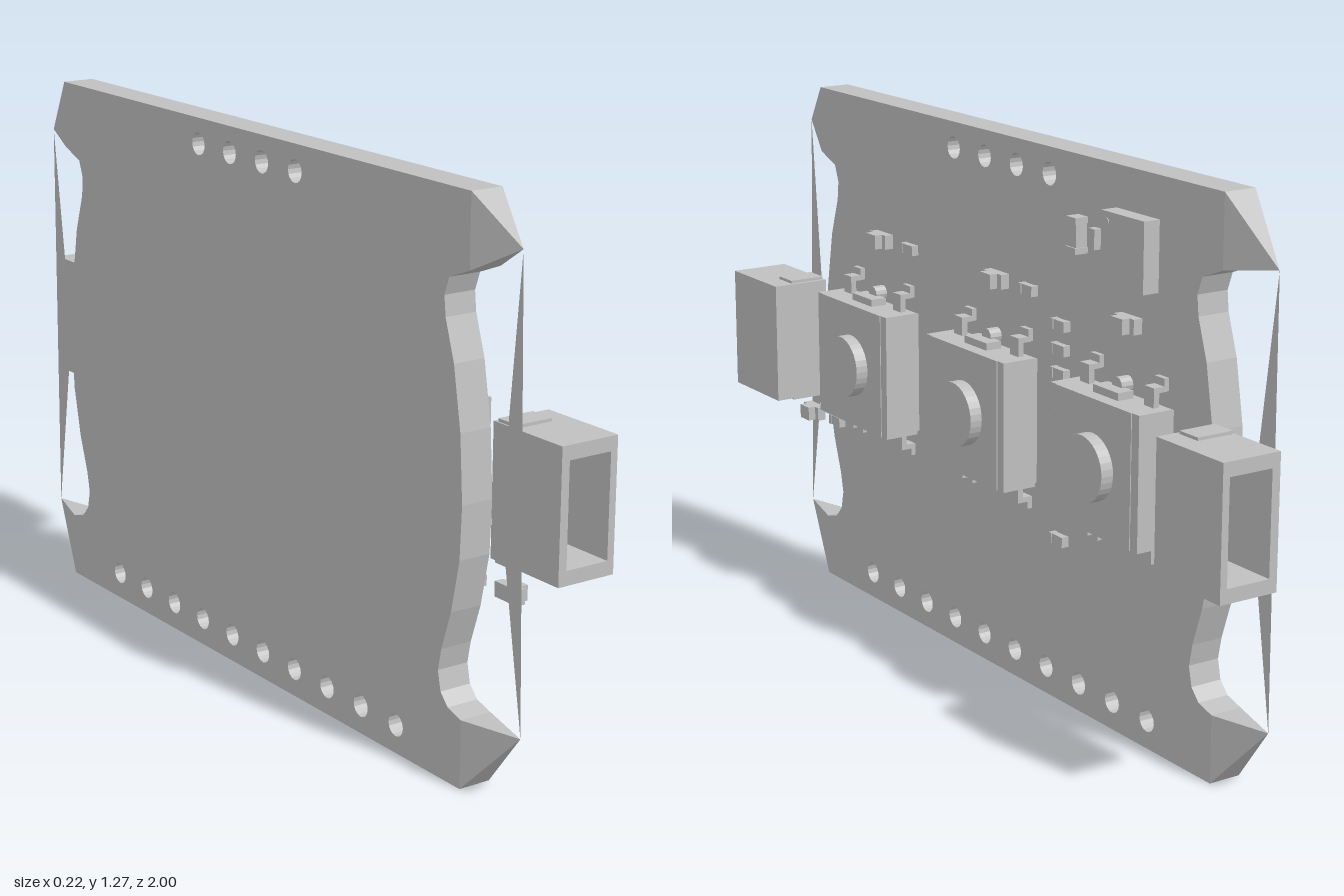
import * as THREE from 'three';
import { ConvexGeometry } from 'three/addons/geometries/ConvexGeometry.js';

const grey = new THREE.MeshStandardMaterial({ color: 0xbfbfbf, flatShading: true });
grey.name = 'plain grey';
const sheetGrey = grey.clone();
sheetGrey.name = 'plain grey sheet';
sheetGrey.side = THREE.DoubleSide;

const BACK = -0.115, FACE = -0.037, MID = -0.075;

function add(parent, name, geometry, x = 0, y = 0, z = 0, material = grey) {
  const mesh = new THREE.Mesh(geometry, material);
  mesh.name = name;
  mesh.position.set(x, y, z);
  parent.add(mesh);
  return mesh;
}

// Box given by its range in x and its centre and size in y and z
function block(parent, name, x0, x1, y, z, h, w) {
  return add(parent, name, new THREE.BoxGeometry(x1 - x0, h, w), (x0 + x1) / 2, y, z);
}

function disc(parent, name, x0, x1, y, z, r, sides = 32) {
  const g = new THREE.CylinderGeometry(r, r, x1 - x0, sides).rotateZ(-Math.PI / 2);
  return add(parent, name, g, (x0 + x1) / 2, y, z);
}

// Plate with a notch in each end and rows of drilled holes
function makeBoard() {
  const board = new THREE.Group();
  board.name = 'board';
  const side = [[0.8, 0], [0.8, 0.155], [0.755, 0.168], [0.73, 0.195], [0.72, 0.24], [0.73, 0.29],
    [0.76, 0.38], [0.785, 0.5], [0.79, 0.62], [0.78, 0.77], [0.755, 0.91], [0.725, 1.0],
    [0.72, 1.045], [0.735, 1.085], [0.8, 1.11], [0.8, 1.27]];
  const outline = [...side, ...side.map(([u, y]) => [-u, y]).reverse()];
  const shape = new THREE.Shape(outline.map(([u, y]) => new THREE.Vector2(u, y)));
  const drill = (u, y) => {
    const hole = new THREE.Path();
    hole.absarc(u, y, 0.026, 0, Math.PI * 2, true);
    shape.holes.push(hole);
  };
  for (let i = 0; i < 4; i++) drill(-0.192 + i * 0.128, 1.21);
  for (let i = 0; i < 10; i++) drill(-0.576 + i * 0.128, 0.065);
  const g = new THREE.ExtrudeGeometry(shape, { depth: FACE - BACK, bevelEnabled: false, curveSegments: 8 });
  add(board, 'plate', g.rotateY(Math.PI / 2), BACK);

  // Corners tapering to a point, joined by a thin sliver across each notch
  for (const [s, top, bottom] of [[1, [1.17, 0.915], [0.155, 0.945]], [-1, [1.13, -0.93], [0.155, -0.94]]]) {
    const corner = (name, ya, yb, [y, z]) => {
      const pts = [[ya, 0.8], [yb, 0.8]].flatMap(([v, w]) =>
        [BACK, FACE].map((x) => new THREE.Vector3(x, v, s * w)));
      pts.push(new THREE.Vector3(MID, y, z));
      add(board, name, new ConvexGeometry(pts));
    };
    corner('upperCorner', 1.11, 1.27, top);
    corner('lowerCorner', 0, 0.155, bottom);
    const sliver = new THREE.BufferGeometry().setFromPoints([
      new THREE.Vector3(MID, ...top), new THREE.Vector3(MID, ...bottom), new THREE.Vector3(MID, 0.62, s * 0.865)]);
    sliver.computeVertexNormals();
    add(board, 'notchSliver', sliver, 0, 0, 0, sheetGrey);
  }
  return board;
}

// Push button with a round cap and four bent legs
function makeButton(z) {
  const button = new THREE.Group();
  button.name = 'pushButton';
  block(button, 'buttonBase', FACE, 0.045, 0.64, 0, 0.29, 0.30);
  block(button, 'buttonCover', -0.015, 0.062, 0.64, 0, 0.30, 0.27);
  for (const s of [-1, 1]) {
    block(button, 'coverSide', -0.025, 0.06, 0.64, s * 0.147, 0.30, 0.026);
    for (const t of [-1, 1]) {
      const yc = 0.64 + t * 0.165;
      block(button, 'legShoulder', -0.012, 0.002, yc, s * 0.115, 0.05, 0.034);
      block(button, 'legShank', -0.032, 0.002, 0.64 + t * 0.187, s * 0.115, 0.012, 0.034);
      block(button, 'legFoot', FACE, -0.025, 0.64 + t * 0.196, s * 0.115, 0.028, 0.034);
    }
  }
  block(button, 'topKey', -0.01, 0.03, 0.797, 0, 0.02, 0.09);
  disc(button, 'locatingPeg', -0.03, 0.0, 0.81, 0, 0.018, 12);
  disc(button, 'buttonCap', 0.06, 0.092, 0.64, 0, 0.075);
  button.position.z = z;
  return button;
}

// Hollow socket, open towards the end of the board
function makeSocket(s) {
  const socket = new THREE.Group();
  socket.name = 'socket';
  const rect = (Kind, x0, y0, x1, y1) => new Kind([[x0, y0], [x1, y0], [x1, y1], [x0, y1]]
    .map(([x, y]) => new THREE.Vector2(x, y)));
  const shell = rect(THREE.Shape, -0.034, 0.49, 0.11, 0.785);
  shell.holes.push(rect(THREE.Path, -0.014, 0.522, 0.093, 0.753));
  const g = new THREE.ExtrudeGeometry(shell, { depth: 0.19, bevelEnabled: false });
  add(socket, 'socketShell', g, 0, 0, s > 0 ? 0.81 : -1);
  block(socket, 'socketBackWall', -0.034, 0.11, 0.6375, s * 0.8, 0.295, 0.03);
  for (const y of [0.487, 0.788])
    block(socket, 'socketTab', -0.03, 0.06, y, s * 0.825, 0.008, 0.06);
  return socket;
}

export function createModel() {
  const model = new THREE.Group();
  model.name = 'circuitBoard';
  model.add(makeBoard());
  for (const z of [-0.5, 0, 0.5]) model.add(makeButton(z));
  for (const s of [-1, 1]) model.add(makeSocket(s));

  // Indicator lamps: a low base with end pads and a raised lens
  for (const [y, z] of [[0.94, 0.5], [0.94, 0], [0.94, -0.5], [0.43, 0.84]]) {
    block(model, 'lampBase', FACE, -0.015, y, z, 0.034, 0.072);
    block(model, 'lampLens', -0.015, 0.004, y, z, 0.034, 0.042);
  }

  // Small resistors
  const resistors = [[0.94, 0.375], [0.94, -0.125], [0.725, 0.25], [0.555, 0.25], [0.43, 0.73],
    ...[0.885, 0.83, 0.775, 0.72, 0.665, 0.61, 0.555, 0.39].map((y) => [y, -0.25])];
  for (const [y, z] of resistors) {
    block(model, 'resistor', FACE, -0.021, y, z, 0.022, 0.034);
    for (const s of [-1, 1]) block(model, 'resistorEnd', FACE, -0.019, y, z + s * 0.021, 0.024, 0.01);
  }

  // Main chip with its marker, and the parts beside it
  block(model, 'chip', FACE, 0.003, 1.1, -0.515, 0.155, 0.15);
  disc(model, 'chipMarker', 0.003, 0.005, 1.155, -0.46, 0.009, 12);
  block(model, 'capacitor', FACE, -0.008, 1.1, -0.32, 0.056, 0.03);
  for (const s of [-1, 1]) block(model, 'capacitorEnd', FACE, -0.004, 1.1 + s * 0.033, -0.32, 0.014, 0.036);
  block(model, 'smallCapacitor', FACE, -0.019, 1.1, -0.375, 0.045, 0.022);
  return model;
}
